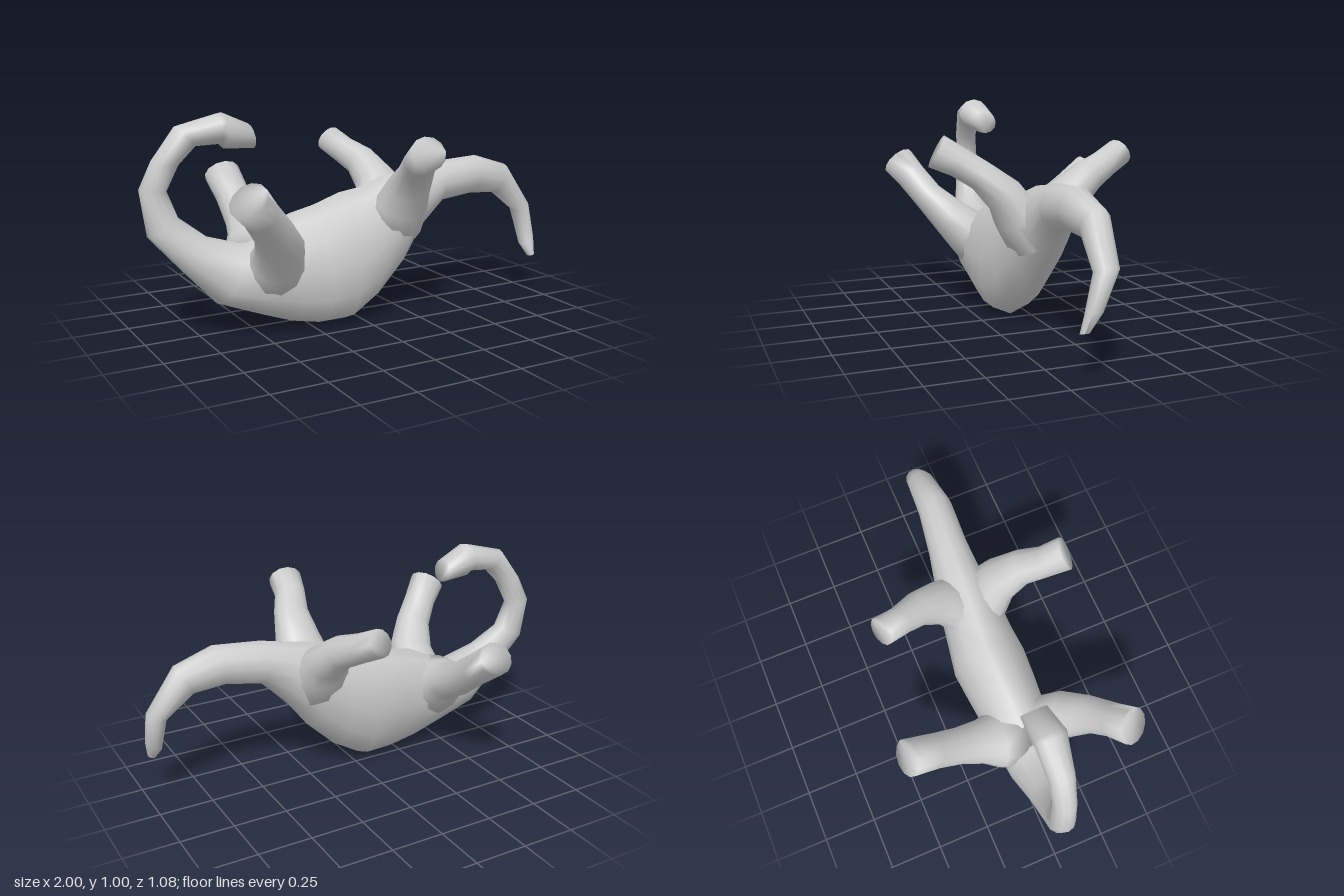
import * as THREE from 'three';

const SIDES = 12;
const material = new THREE.MeshStandardMaterial({ color: 0xcccccc });
const V = (x, y, z) => new THREE.Vector3(x, y, z);

// Skin a list of rings {c, u, v} (centre and two half-axes, u x v along the path), closed at both ends.
function loft(name, rings) {
  const pos = [], index = [];
  for (const { c, u, v } of rings) {
    for (let j = 0; j < SIDES; j++) {
      const a = (j / SIDES) * Math.PI * 2;
      const p = c.clone().addScaledVector(u, Math.cos(a)).addScaledVector(v, Math.sin(a));
      pos.push(p.x, p.y, p.z);
    }
  }
  for (let i = 0; i < rings.length - 1; i++) {
    for (let j = 0; j < SIDES; j++) {
      const k = (j + 1) % SIDES;
      const a = i * SIDES + j, b = i * SIDES + k;
      index.push(a, b, a + SIDES, b, b + SIDES, a + SIDES);
    }
  }
  // Blunt ends share the rim, so their shading stays soft
  const end = (rings.length - 1) * SIDES;
  for (let j = 1; j < SIDES - 1; j++) {
    index.push(0, j + 1, j, end, end + j, end + j + 1);
  }
  const geometry = new THREE.BufferGeometry();
  geometry.setAttribute('position', new THREE.Float32BufferAttribute(pos, 3));
  geometry.setIndex(index);
  geometry.computeVertexNormals();
  const mesh = new THREE.Mesh(geometry, material);
  mesh.name = name;
  return mesh;
}

// Spine section: inner-curve point, outer-curve point, z of the centre, half width, sideways lean
const spineRing = ([ix, iy, ox, oy, z, w, lean = 0]) => ({
  c: V((ix + ox) / 2, (iy + oy) / 2, z),
  u: V((ix - ox) / 2, (iy - oy) / 2, -lean),
  v: V(0, 0, w),
});

// Limb section: centre, radius along x and radius across, squared to the path
function limb(name, stations) {
  const pts = stations.map(([x, y, z]) => V(x, y, z));
  const last = pts.length - 1;
  return loft(name, pts.map((c, i) => {
    const t = pts[Math.min(i + 1, last)].clone().sub(pts[Math.max(i - 1, 0)]).normalize();
    const u = V(1, 0, 0).addScaledVector(t, -t.x).normalize();
    const v = t.clone().cross(u);
    const [, , , ru, rv] = stations[i];
    return { c, u: u.multiplyScalar(ru), v: v.multiplyScalar(rv) };
  }));
}

export function createModel() {
  const group = new THREE.Group();
  group.name = 'longNeckedReptileOnItsBack';

  // Head, curling neck, belly-down trunk and drooping tail as one skin
  const spine = [
    [-0.50, 0.83, -0.52, 0.94, 0.05, 0.062],
    [-0.64, 0.84, -0.645, 0.995, 0.06, 0.078],
    [-0.66, 0.86, -0.67, 0.99, 0.058, 0.074],
    [-0.76, 0.855, -0.845, 0.945, 0.04, 0.06],
    [-0.83, 0.78, -0.95, 0.80, 0.025, 0.052],
    [-0.88, 0.67, -1.00, 0.68, 0.005, 0.055],
    [-0.835, 0.55, -0.975, 0.48, 0.015, 0.062],
    [-0.72, 0.46, -0.84, 0.325, 0.04, 0.09],
    [-0.56, 0.41, -0.69, 0.16, 0.055, 0.13, 0.01],
    [-0.44, 0.46, -0.48, 0.08, 0.06, 0.15, 0.02],
    [-0.32, 0.52, -0.34, 0.03, 0.06, 0.16, 0.025],
    [-0.20, 0.545, -0.20, 0.002, 0.06, 0.172, 0.03],
    [-0.06, 0.59, -0.06, 0.0, 0.055, 0.182, 0.03],
    [0.04, 0.605, 0.08, 0.085, 0.055, 0.163, 0.025],
    [0.16, 0.65, 0.23, 0.23, 0.055, 0.145, 0.015],
    [0.31, 0.675, 0.35, 0.39, 0.05, 0.115],
    [0.44, 0.70, 0.47, 0.505, 0.055, 0.095],
    [0.67, 0.717, 0.64, 0.53, 0.075, 0.083],
    [0.86, 0.658, 0.785, 0.52, 0.07, 0.064],
    [0.997, 0.45, 0.91, 0.42, 0.085, 0.054],
    [0.997, 0.29, 0.925, 0.25, 0.14, 0.038],
    [0.98, 0.205, 0.945, 0.195, 0.178, 0.02],
  ];
  group.add(loft('bodyNeckAndTail', spine.map(spineRing)));

  // Four raised legs, from flared hip to blunt foot
  const legs = {
    frontLegNear: [[-0.44, 0.26, 0.09, 0.16, 0.13], [-0.45, 0.35, 0.18, 0.125, 0.115],
      [-0.47, 0.42, 0.255, 0.11, 0.095], [-0.54, 0.52, 0.345, 0.088, 0.075],
      [-0.62, 0.61, 0.405, 0.08, 0.075], [-0.695, 0.685, 0.455, 0.087, 0.083]],
    frontLegFar: [[-0.44, 0.32, 0.0, 0.17, 0.15], [-0.445, 0.37, -0.09, 0.135, 0.105],
      [-0.435, 0.40, -0.15, 0.108, 0.088], [-0.425, 0.45, -0.255, 0.088, 0.08],
      [-0.425, 0.545, -0.38, 0.083, 0.076], [-0.43, 0.635, -0.5, 0.088, 0.078]],
    hindLegNear: [[0.19, 0.42, 0.08, 0.16, 0.12], [0.20, 0.53, 0.155, 0.135, 0.105],
      [0.20, 0.62, 0.21, 0.11, 0.088], [0.18, 0.71, 0.31, 0.085, 0.068],
      [0.14, 0.77, 0.40, 0.075, 0.068], [0.12, 0.82, 0.495, 0.08, 0.077]],
    hindLegFar: [[0.19, 0.46, 0.03, 0.16, 0.13], [0.20, 0.55, -0.035, 0.135, 0.105],
      [0.205, 0.61, -0.10, 0.105, 0.09], [0.185, 0.685, -0.20, 0.082, 0.076],
      [0.145, 0.73, -0.30, 0.068, 0.066], [0.11, 0.78, -0.4, 0.07, 0.064]],
  };
  for (const [name, stations] of Object.entries(legs)) group.add(limb(name, stations));

  return group;
}
